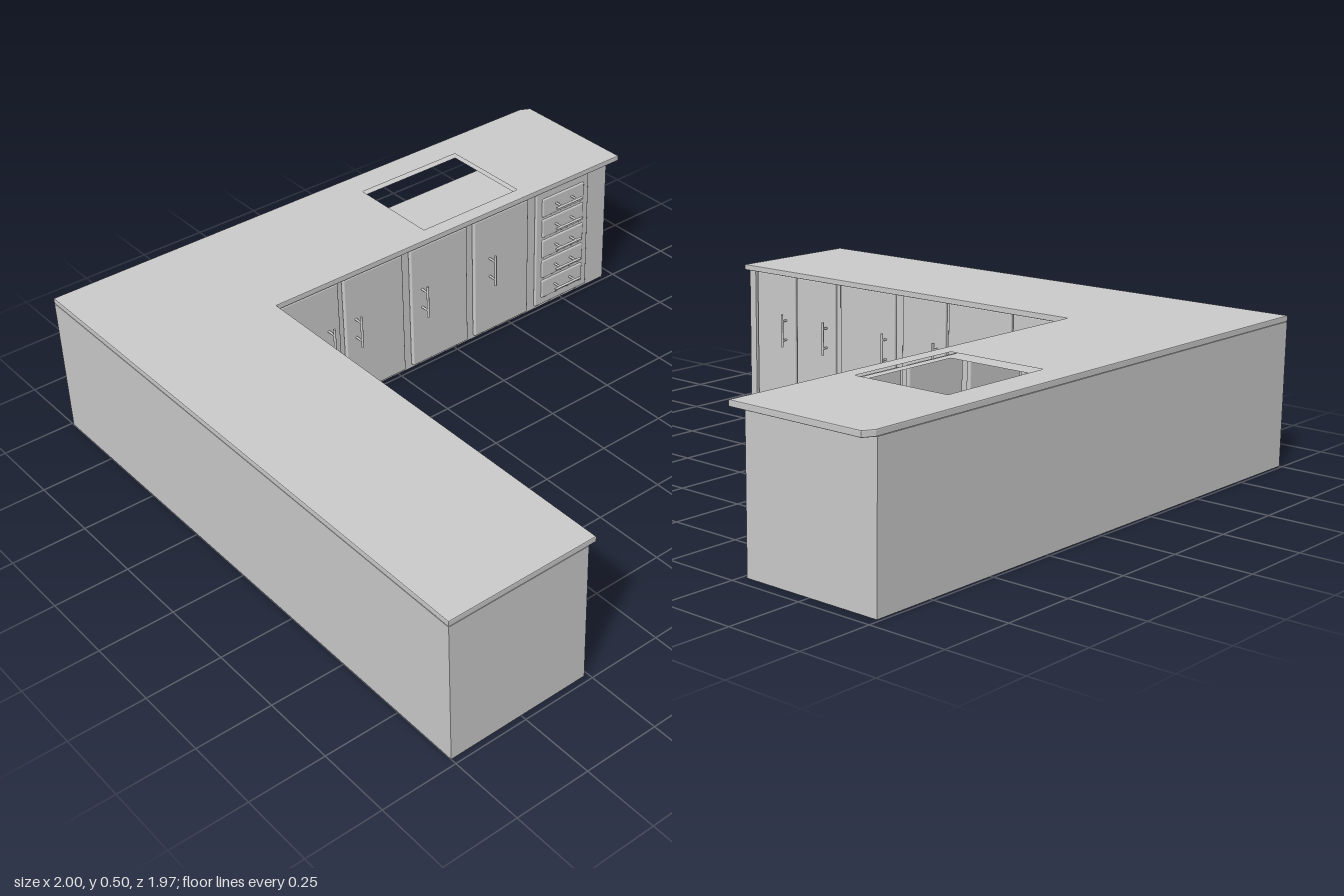
import * as THREE from 'three';
import { RoundedBoxGeometry } from 'three/addons/geometries/RoundedBoxGeometry.js';

const material = new THREE.MeshStandardMaterial({ color: 0xcccccc });

function add(parent, name, geometry, x = 0, y = 0, z = 0) {
  const mesh = new THREE.Mesh(geometry, material);
  mesh.name = name;
  mesh.position.set(x, y, z);
  parent.add(mesh);
  return mesh;
}

// Extrudes a floor plan given as [x, z] points upward from y0 to y1
function slab(plan, hole, y0, y1, bevel = 0) {
  const toPoints = (list) => list.map(([x, z]) => new THREE.Vector2(x, -z));
  const shape = new THREE.Shape(toPoints(plan));
  if (hole) shape.holes.push(new THREE.Path(toPoints(hole)));
  const geometry = new THREE.ExtrudeGeometry(shape, {
    depth: y1 - y0 - 2 * bevel, bevelEnabled: bevel > 0, bevelSize: bevel,
    bevelThickness: bevel, bevelOffset: -bevel, bevelSegments: 2,
  });
  return geometry.rotateX(-Math.PI / 2).translate(0, y0 + bevel, 0);
}

// Bar handle on two posts, standing out along +z
function makeHandle(length, reach, horizontal) {
  const handle = new THREE.Group();
  handle.name = 'handle';
  const r = 0.0045;
  add(handle, 'handleBar', new THREE.CylinderGeometry(r, r, length, 10), 0, 0, reach - r);
  for (const s of [-1, 1]) {
    const post = new THREE.CylinderGeometry(r * 0.9, r * 0.9, reach - r, 8).rotateX(Math.PI / 2);
    add(handle, 'handlePost', post, 0, s * length * 0.3, (reach - r) / 2);
  }
  if (horizontal) handle.rotation.z = Math.PI / 2;
  return handle;
}

// Door between u0 and u1 along a run, with its face looking along +z
function makeDoor(u0, u1, handleU, reach) {
  const door = new THREE.Group();
  door.name = 'door';
  add(door, 'doorPanel', new RoundedBoxGeometry(u1 - u0, 0.465, 0.016, 3, 0.006), (u0 + u1) / 2, 0.2475, 0.008);
  const handle = makeHandle(0.12, reach, false);
  handle.position.set(handleU, 0.277, 0.015);
  door.add(handle);
  return door;
}

export function createModel() {
  const model = new THREE.Group();
  model.name = 'cornerKitchenCounter';

  // Cabinet body, with a well for the sink
  const bodyPlan = [[-1, -0.99], [0.96, -0.99], [0.96, -0.517], [-0.527, -0.517], [-0.527, 0.98], [-1, 0.98]];
  const sink = [[0.15, -0.89], [0.57, -0.89], [0.57, -0.547], [0.15, -0.547]];
  add(model, 'cabinetBase', slab(bodyPlan, null, 0, 0.32));
  add(model, 'cabinetUpper', slab(bodyPlan, sink, 0.32, 0.482));

  // End panel closing the open end of the side run
  add(model, 'endPanel', new THREE.BoxGeometry(0.014, 0.482, 0.03), -0.52, 0.241, 0.965);

  // Worktop
  const topPlan = [[-1, -0.99], [0.965, -0.99], [1, -0.972], [1, -0.497], [-0.487, -0.497], [-0.487, 0.98], [-1, 0.98]];
  add(model, 'worktop', slab(topPlan, sink, 0.482, 0.502, 0.003));

  // Doors of the back run: start, end, handle position
  const backRun = new THREE.Group();
  backRun.name = 'backRun';
  backRun.position.z = -0.517;
  for (const [a, b, h] of [[-0.487, -0.243, -0.29], [-0.222, 0.022, -0.18], [0.055, 0.3, 0.1], [0.332, 0.578, 0.4]]) {
    backRun.add(makeDoor(a, b, h, 0.037));
  }

  // Drawer stack
  add(backRun, 'drawerFrame', new RoundedBoxGeometry(0.245, 0.465, 0.012, 2, 0.004), 0.742, 0.2475, 0.006);
  for (let i = 0; i < 5; i++) {
    const y = 0.08 + i * 0.084;
    add(backRun, 'drawerFront', new RoundedBoxGeometry(0.196, 0.074, 0.016, 3, 0.006), 0.743, y, 0.009);
    const handle = makeHandle(0.12, 0.036, true);
    handle.position.set(0.743, y + 0.002, 0.016);
    backRun.add(handle);
  }
  model.add(backRun);

  // Doors of the side run, measured along -z
  const sideRun = new THREE.Group();
  sideRun.name = 'sideRun';
  sideRun.position.x = -0.527;
  sideRun.rotation.y = Math.PI / 2;
  const sideDoors = [
    [0.94, 0.747, 0.79], [0.738, 0.547, 0.585], [0.52, 0.262, 0.3],
    [0.225, 0.032, 0.065], [0.018, -0.25, -0.195], [-0.258, -0.5, -0.297],
  ];
  for (const [a, b, h] of sideDoors) sideRun.add(makeDoor(-a, -b, -h, 0.028));
  model.add(sideRun);

  return model;
}
